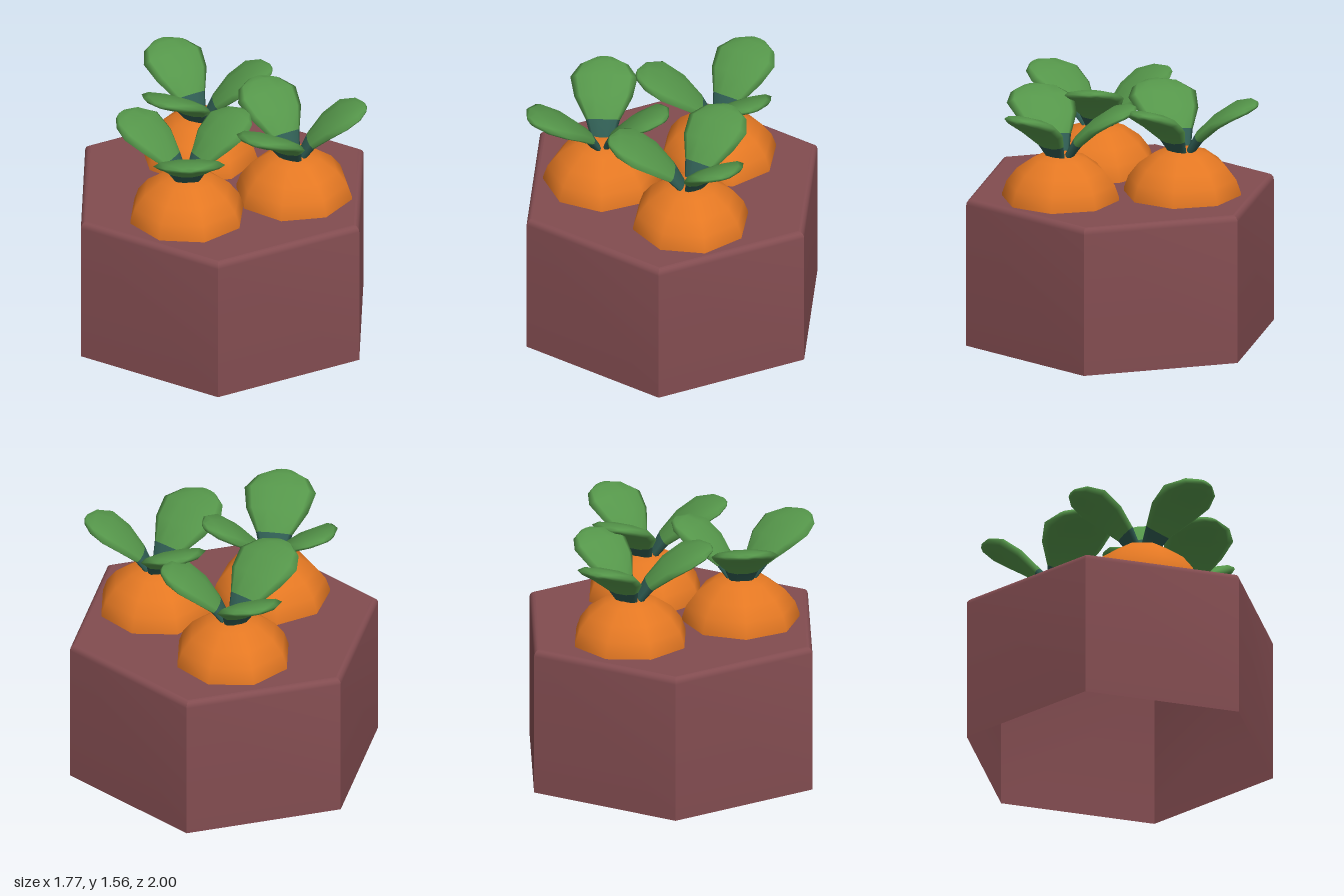
import * as THREE from 'three';
import { toCreasedNormals } from 'three/addons/utils/BufferGeometryUtils.js';

const DEG = Math.PI / 180;
const CX = -0.03; // centre of the planter in x
const TOP = 0.95;

// One cluster per carrot: position and turn about the upright axis
const CARROTS = [
  { x: -0.24, z: 0.38, turn: 30 },
  { x: 0.42, z: 0.085, turn: 0 },
  { x: -0.18, z: -0.39, turn: 0 },
];
const FIRST_CORNER = 11; // direction of a dome corner, degrees from +x towards +z

// Leaf sections: distance out, height, half width, half thickness
const LEAF = [
  [0.04, 1.2, 0.07, 0.025],
  [0.12, 1.32, 0.115, 0.035],
  [0.23, 1.42, 0.195, 0.04],
  [0.35, 1.495, 0.225, 0.042],
  [0.45, 1.53, 0.16, 0.035],
  [0.505, 1.543, 0.06, 0.018],
];
const LEAVES = [
  { name: 'largeLeaf', angle: 116, size: 1 },
  { name: 'mediumLeaf', angle: 237, size: 0.93 },
  { name: 'smallLeaf', angle: -6, size: 0.88 },
];

// Loft of flattened rings along a rising curve; group 0 is the stalk, group 1 the blade
function leafGeometry(size) {
  const sides = 10, pos = [], index = [];
  LEAF.forEach(([r, y, w, t], i) => {
    const a = LEAF[Math.max(i - 1, 0)], b = LEAF[Math.min(i + 1, LEAF.length - 1)];
    const tangent = new THREE.Vector2((b[0] - a[0]) * size, b[1] - a[1]).normalize();
    for (let j = 0; j < sides; j++) {
      const q = (j / sides) * Math.PI * 2;
      const up = t * Math.sin(q);
      pos.push(r * size - tangent.y * up, y + tangent.x * up, w * size * Math.cos(q));
    }
  });
  for (let i = 0; i < LEAF.length - 1; i++) {
    for (let j = 0; j < sides; j++) {
      const k = (j + 1) % sides;
      const a = i * sides + j, b = a + sides, c = i * sides + k, d = c + sides;
      index.push(a, b, c, c, b, d);
    }
  }
  // Rounded tip
  const last = (LEAF.length - 1) * sides, tip = pos.length / 3;
  pos.push(0.517 * size, 1.545, 0);
  for (let j = 0; j < sides; j++) index.push(last + j, tip, last + ((j + 1) % sides));

  const g = new THREE.BufferGeometry();
  g.setAttribute('position', new THREE.Float32BufferAttribute(pos, 3));
  g.setIndex(index);
  g.computeVertexNormals();
  g.addGroup(0, sides * 6, 0);
  g.addGroup(sides * 6, index.length - sides * 6, 1);
  return g;
}

export function createModel() {
  const clay = new THREE.MeshStandardMaterial({ color: 0x824c50, side: THREE.DoubleSide });
  clay.name = 'clay';
  const orange = new THREE.MeshStandardMaterial({ color: 0xe47823, side: THREE.DoubleSide });
  orange.name = 'carrotOrange';
  const green = new THREE.MeshStandardMaterial({ color: 0x55964a });
  green.name = 'leafGreen';
  const teal = new THREE.MeshStandardMaterial({ color: 0x2f5c52 });
  teal.name = 'stalkTeal';

  const model = new THREE.Group();
  model.name = 'carrotPlanter';
  const add = (parent, name, geometry, material) => {
    const mesh = new THREE.Mesh(geometry, material);
    mesh.name = name;
    parent.add(mesh);
    return mesh;
  };

  // Six-sided wall, open below, with a rounded upper rim
  const rim = 0.04;
  const wall = [new THREE.Vector2(1, 0)];
  for (let i = 0; i <= 4; i++) {
    const a = (i / 4) * 90 * DEG;
    wall.push(new THREE.Vector2(1 - rim + rim * Math.cos(a), TOP - rim + rim * Math.sin(a)));
  }
  const wallGeo = toCreasedNormals(new THREE.LatheGeometry(wall, 6), 30 * DEG);
  add(model, 'planterWall', wallGeo, clay).position.x = CX;

  // Flat top with an opening under each carrot
  const polygon = (path, cx, cz, radius, sides, start) => {
    const pts = [];
    for (let i = 0; i < sides; i++) {
      const a = start * DEG + (i / sides) * Math.PI * 2;
      pts.push(new THREE.Vector2(cx + radius * Math.cos(a), -(cz + radius * Math.sin(a))));
    }
    return path.setFromPoints(pts);
  };
  const topShape = polygon(new THREE.Shape(), CX, 0, 1 - rim, 6, 90);
  for (const c of CARROTS) {
    topShape.holes.push(polygon(new THREE.Path(), c.x, c.z, 0.34, 8, FIRST_CORNER - c.turn));
  }
  const top = add(model, 'planterTop', new THREE.ShapeGeometry(topShape), clay);
  top.rotation.x = -Math.PI / 2;
  top.position.y = TOP;

  // Carrot dome profile, from the lower edge to the crown
  const dome = [[0.37, 0.9], [0.368, 0.97], [0.34, 1.05], [0.275, 1.135], [0.17, 1.21], [0.07, 1.24], [0, 1.243]]
    .map(([r, y]) => new THREE.Vector2(r, y));
  const domeGeo = new THREE.LatheGeometry(dome, 8, (90 - FIRST_CORNER) * DEG);
  const leafGeos = LEAVES.map((l) => leafGeometry(l.size));

  CARROTS.forEach((c) => {
    const carrot = new THREE.Group();
    carrot.name = 'carrot';
    carrot.position.set(c.x, 0, c.z);
    carrot.rotation.y = c.turn * DEG;
    add(carrot, 'carrotDome', domeGeo, orange);
    LEAVES.forEach((l, i) => {
      add(carrot, l.name, leafGeos[i], [teal, green]).rotation.y = -l.angle * DEG;
    });
    model.add(carrot);
  });

  return model;
}
